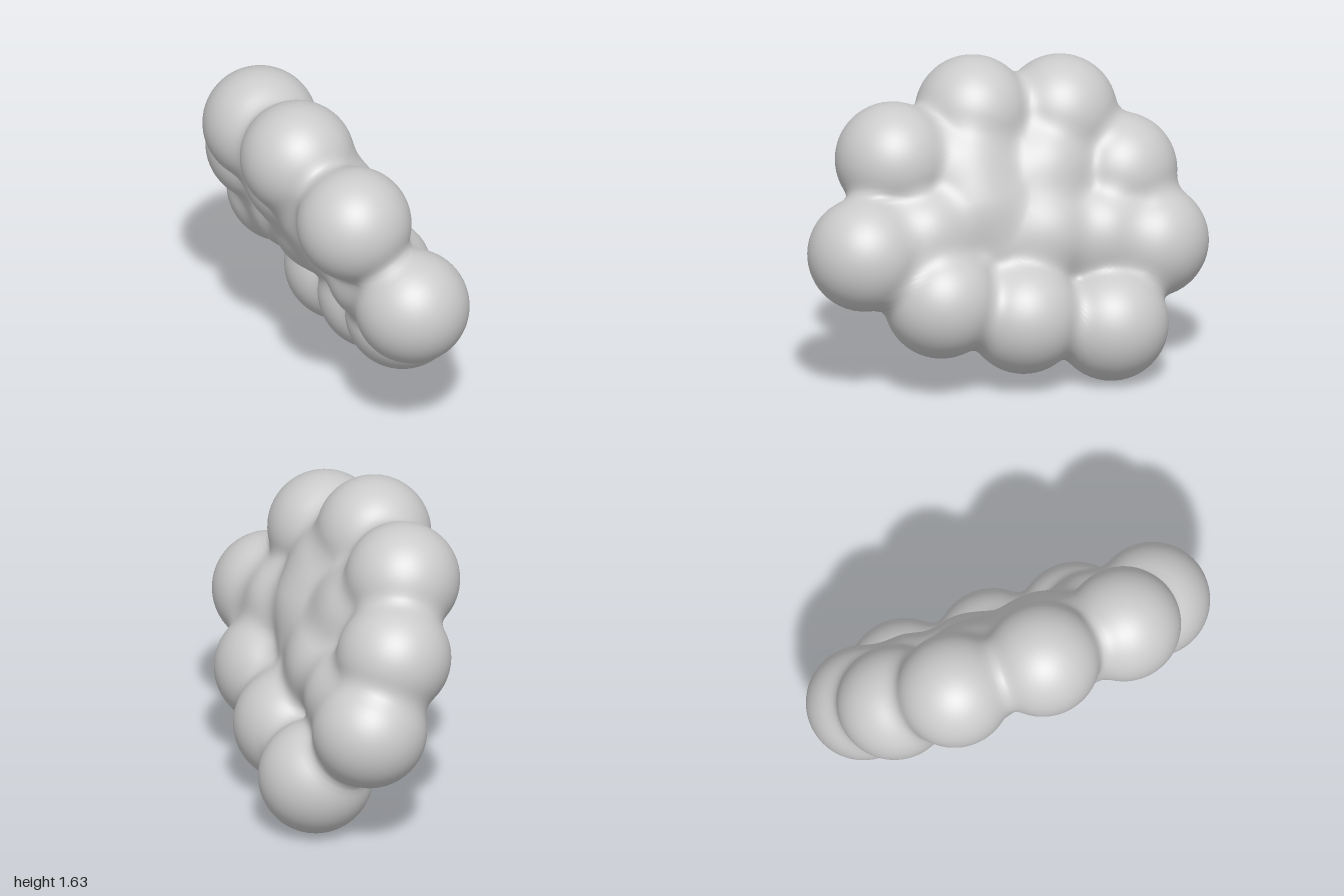
import * as THREE from 'three';
import { mergeVertices } from 'three/addons/utils/BufferGeometryUtils.js';

// All puffs are centred on one tilted plane: x = 0.411 - 0.551 y - 0.436 z
const onPlane = (y, z) => new THREE.Vector3(0.411 - 0.551 * y - 0.436 * z, y, z);
const normal = new THREE.Vector3(1, 0.551, 0.436).normalize();
const centre = onPlane(0.82, -0.06);
const tilt = new THREE.Quaternion().setFromUnitVectors(new THREE.Vector3(0, 0, 1), normal);
const untilt = tilt.clone().invert();
const toLocal = (y, z) => onPlane(y, z).sub(centre).applyQuaternion(untilt);

// Outer ring of puffs (y, z)
const ring = [[1.34, -0.07], [1.175, 0.4], [0.76, 0.705], [0.5, 0.42], [0.38, 0.05],
  [0.295, -0.36], [0.65, -0.705], [0.99, -0.68], [1.29, -0.495]];
// Puffs that fill the middle (y, z)
const inner = [[0.76, -0.2], [0.93, 0.11], [0.72, -0.47], [1.04, -0.3], [1.1, 0.08], [0.81, 0.4]];

const puff = (r) => ([y, z]) => ({ p: toLocal(y, z), r });
const puffs = [...ring.map(puff(0.294)), ...inner.map(puff(0.27))];
const core = toLocal(0.92, -0.05);

// Smooth union of two distances
function blend(a, b, k) {
  const h = Math.max(k - Math.abs(a - b), 0) / k;
  return Math.min(a, b) - h * h * k * 0.25;
}

// Distance to the puffs, joined over a flattened core
function field(x, y, z) {
  let d = (Math.hypot((x - core.x) / 0.46, (y - core.y) / 0.46, z / 0.24) - 1) * 0.24;
  for (const { p, r } of puffs) d = blend(d, Math.hypot(x - p.x, y - p.y, z - p.z) - r, 0.08);
  return d;
}

// Finds where f changes from inside to outside
function surface(f, lo, hi) {
  for (let i = 0; i < 24; i++) {
    const mid = (lo + hi) / 2;
    if (f(mid) < 0) lo = mid; else hi = mid;
  }
  return (lo + hi) / 2;
}

// A sphere is stretched to the cloud outline, then each side is raised to the puffs
function cloudGeometry() {
  let g = new THREE.SphereGeometry(1, 216, 120).rotateX(Math.PI / 2);
  g.deleteAttribute('uv');
  g.deleteAttribute('normal');
  g = mergeVertices(g, 1e-5);
  const pos = g.attributes.position;
  for (let i = 0; i < pos.count; i++) {
    const a = Math.atan2(pos.getY(i), pos.getX(i));
    const c = Math.cos(a), s = Math.sin(a);
    const rim = surface((t) => field(c * t, s * t, 0), 0.3, 1.3);
    const rho = Math.min(Math.hypot(pos.getX(i), pos.getY(i)), 1) * rim;
    const x = c * rho, y = s * rho;
    const side = Math.abs(pos.getZ(i)) < 1e-4 ? 0 : Math.sign(pos.getZ(i));
    pos.setXYZ(i, x, y, side * surface((t) => field(x, y, t), 0, 0.5));
  }
  g.computeVertexNormals();
  return g;
}

export function createModel() {
  const group = new THREE.Group();
  group.name = 'cloud';
  const body = new THREE.Mesh(cloudGeometry(), new THREE.MeshStandardMaterial({ color: 0xcccccc }));
  body.name = 'cloudBody';
  body.quaternion.copy(tilt);
  body.position.copy(centre);
  group.add(body);
  return group;
}
